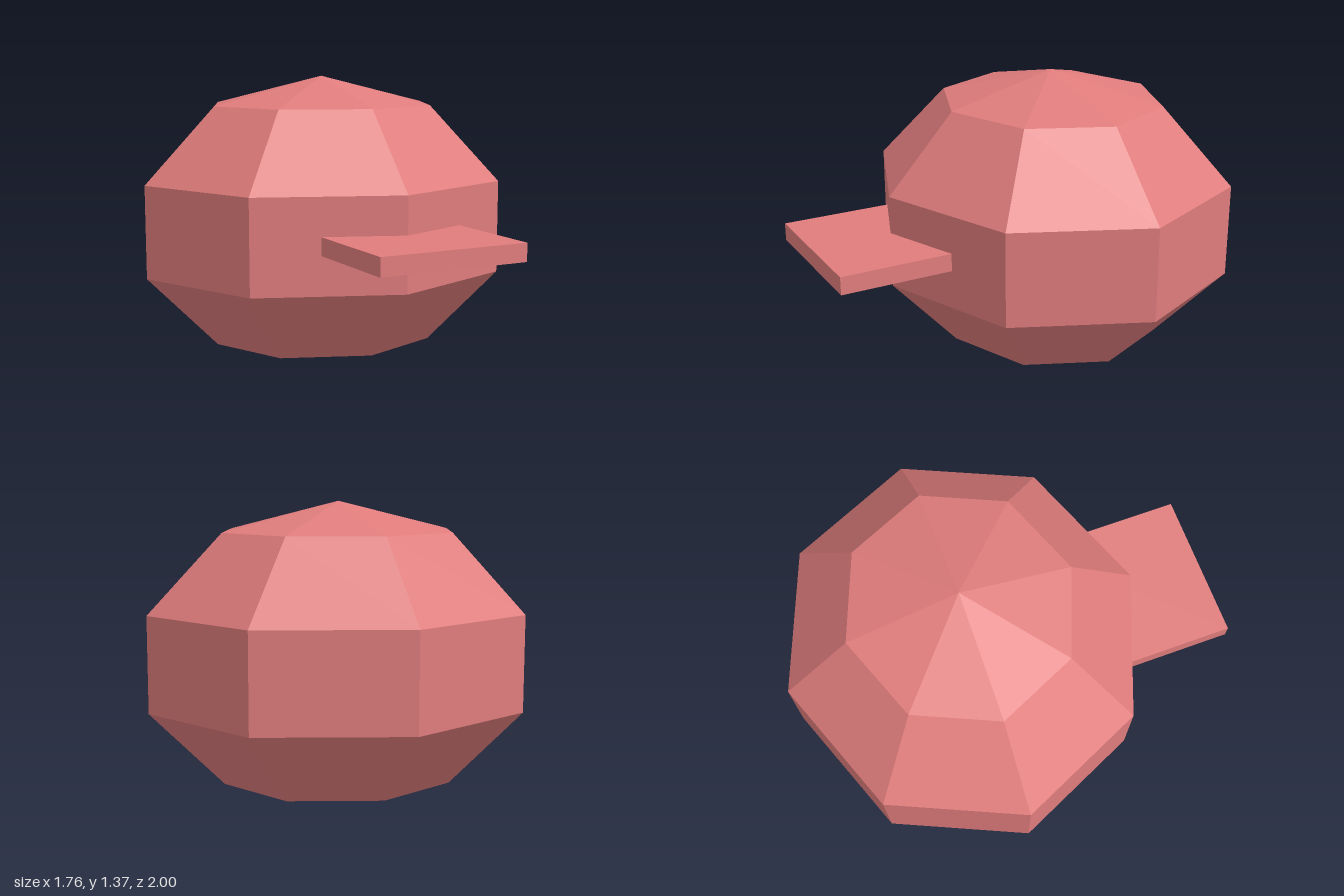
import * as THREE from 'three';

export function createModel() {
  const model = new THREE.Group();
  model.name = 'cappedBall';
  const material = new THREE.MeshStandardMaterial({ color: 0xe07c7c, flatShading: true });

  function addPart(name, geometry, x, y, z) {
    const mesh = new THREE.Mesh(geometry, material);
    mesh.name = name;
    mesh.position.set(x, y, z);
    model.add(mesh);
  }

  // Faceted ball: eight sides, five bands, slightly squashed
  const ball = new THREE.SphereGeometry(1, 8, 5);
  ball.scale(0.925, 0.686, 0.857);
  addPart('ball', ball, 0, 0.688, -0.185);

  // Flat brim sticking out of the front, sunk into the ball
  addPart('brim', new THREE.BoxGeometry(0.684, 0.08, 0.7), 0, 0.69, 0.65);

  return model;
}
